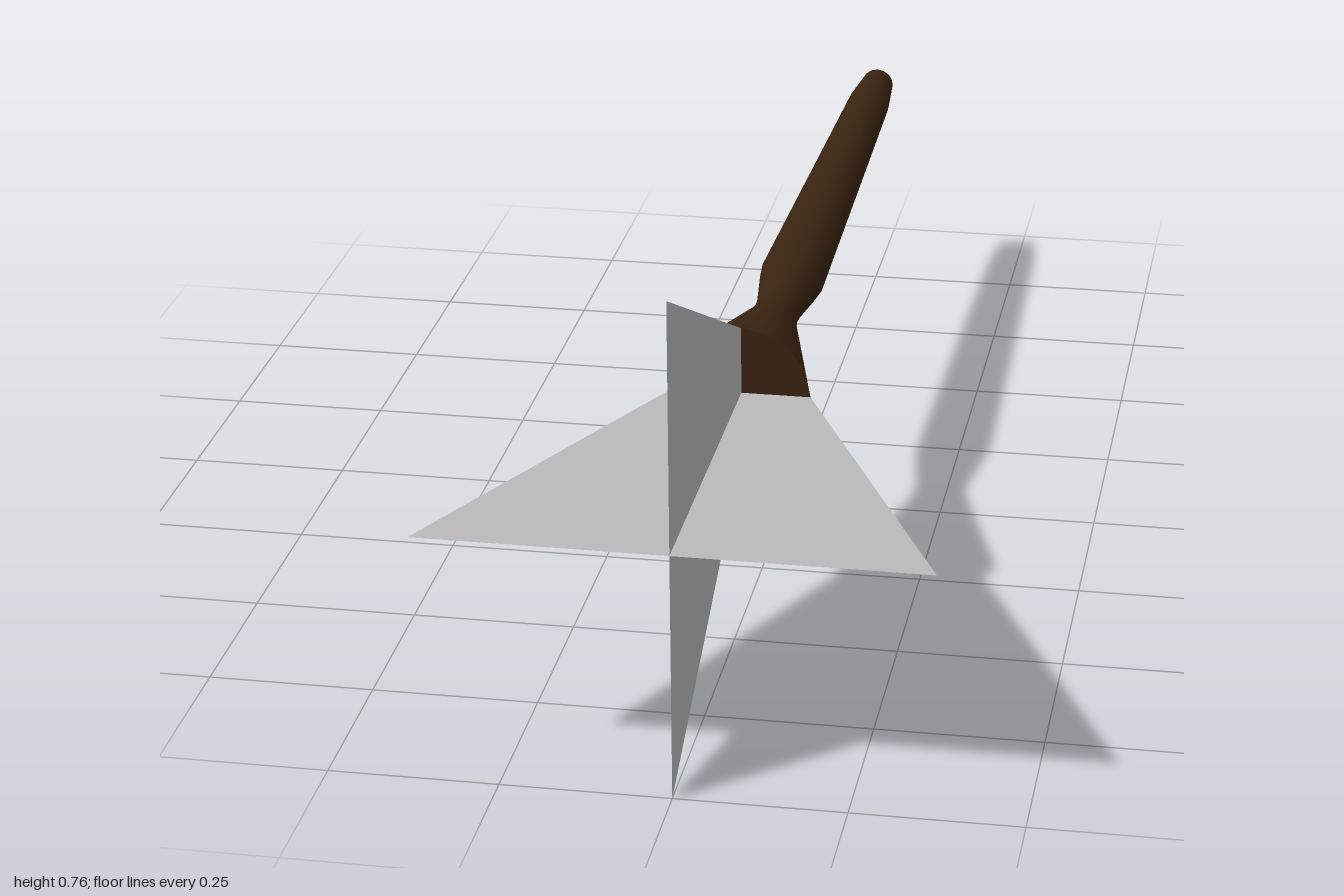
import * as THREE from 'three';

const AXIS_Y = 0.378; // height of the dart's long axis
const BASE_Z = 0.43;  // where the flared body meets the fins
const SIDES = 16;

export function createModel() {
  const group = new THREE.Group();
  group.name = 'dart';

  const wood = new THREE.MeshStandardMaterial({ color: 0x3a2411 });
  wood.name = 'dark brown';
  const vane = new THREE.MeshStandardMaterial({ color: 0xbababa, side: THREE.DoubleSide });
  vane.name = 'light grey';

  const add = (name, geometry, material) => {
    const mesh = new THREE.Mesh(geometry, material);
    mesh.name = name;
    mesh.position.y = AXIS_Y;
    group.add(mesh);
  };

  // Turned body: blunt tip, long shaft, narrow neck, flared tail (radius, z)
  const profile = [
    [0.028, -1], [0.036, -0.9], [0.052, -0.04], [0.037, 0.08],
    [0.035, 0.12], [0.04, 0.16], [0.105, BASE_Z],
  ].map(([r, z]) => new THREE.Vector2(r, z));
  add('body', new THREE.LatheGeometry(profile, SIDES).rotateX(Math.PI / 2), wood);

  // Flat ends of the body
  add('tailCap', new THREE.CircleGeometry(0.105, SIDES).translate(0, 0, BASE_Z), wood);
  add('tipCap', new THREE.CircleGeometry(0.028, SIDES).rotateY(Math.PI).translate(0, 0, -1), wood);

  // Two crossed, paper-thin flaring fins
  const finPlane = (halfSpan) => {
    const shape = new THREE.Shape([
      new THREE.Vector2(-0.105, BASE_Z), new THREE.Vector2(0.105, BASE_Z),
      new THREE.Vector2(halfSpan, 1), new THREE.Vector2(-halfSpan, 1),
    ]);
    return new THREE.ShapeGeometry(shape).rotateX(Math.PI / 2);
  };
  add('horizontalFins', finPlane(0.37), vane);
  add('verticalFins', finPlane(AXIS_Y).rotateZ(Math.PI / 2), vane);

  return group;
}
